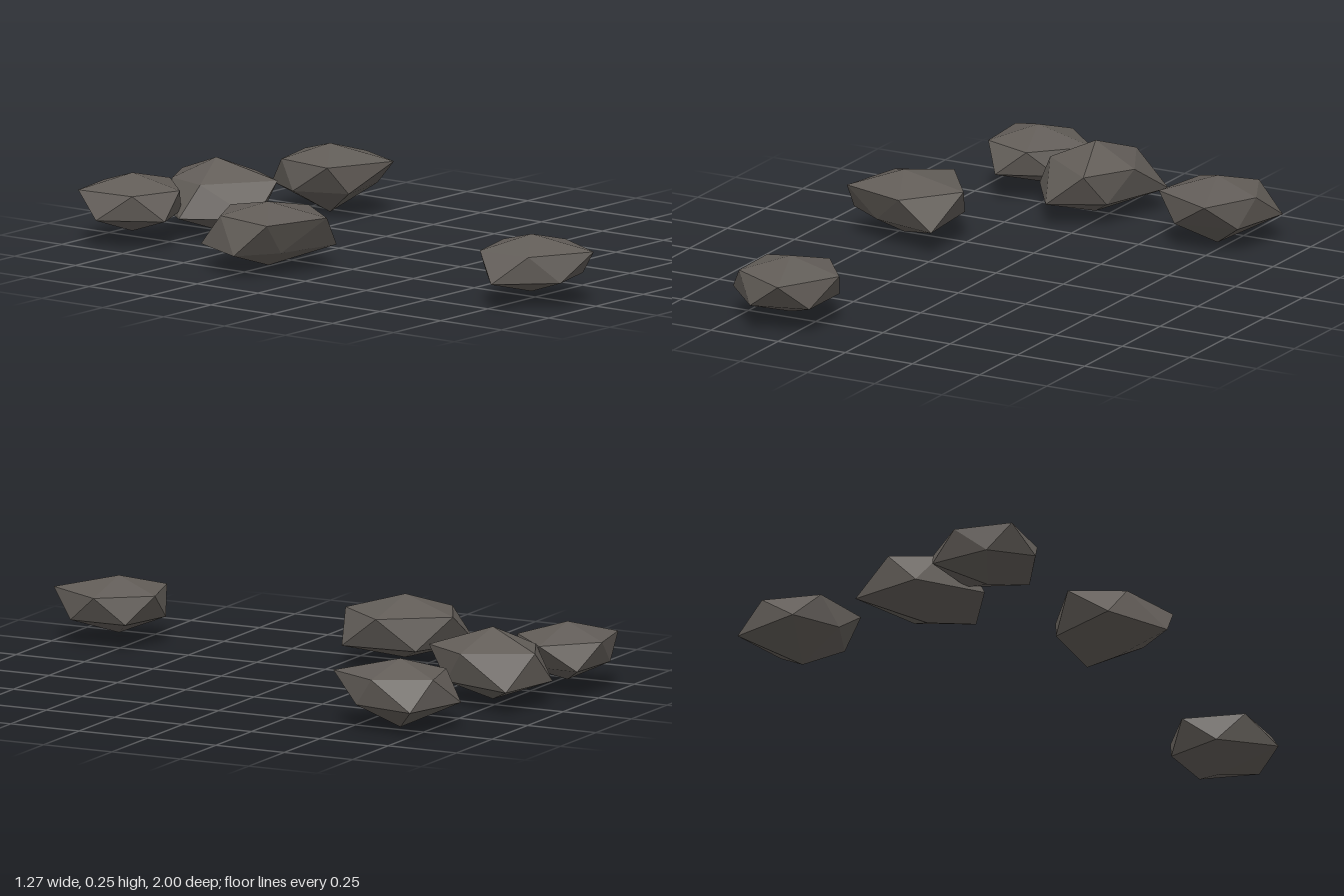
import * as THREE from 'three';

const stone = new THREE.MeshStandardMaterial({ color: 0x625d58, flatShading: true });
stone.name = 'dark stone';

// Each rock: a top and bottom point [x, z, yTop, yBottom] and two staggered
// five-sided rings of [x, z]; ring heights are given as [upper, lower].
const ROCKS = [
  { name: 'frontRock', axis: [-0.32, 0.79, 0.225, 0.035], heights: [0.18, 0.09],
    upper: [[-0.14, 0.79], [-0.255, 0.995], [-0.46, 0.885], [-0.465, 0.69], [-0.265, 0.63]],
    lower: [[-0.19, 0.9], [-0.38, 0.955], [-0.535, 0.79], [-0.38, 0.65], [-0.19, 0.7]] },
  { name: 'middleRock', axis: [-0.45, -0.19, 0.233, 0.022], heights: [0.187, 0.08],
    upper: [[-0.23, -0.195], [-0.37, -0.012], [-0.6, -0.08], [-0.55, -0.31], [-0.38, -0.4]],
    lower: [[-0.27, -0.05], [-0.5, -0.1], [-0.635, -0.19], [-0.53, -0.405], [-0.29, -0.31]] },
  { name: 'backRightRock', axis: [-0.32, -0.85, 0.228, 0.035], heights: [0.18, 0.095],
    upper: [[-0.12, -0.85], [-0.275, -0.69], [-0.45, -0.75], [-0.465, -0.96], [-0.275, -1]],
    lower: [[-0.19, -0.75], [-0.38, -0.67], [-0.5, -0.86], [-0.38, -0.975], [-0.175, -0.96]] },
  { name: 'backMiddleRock', axis: [-0.036, -0.725, 0.25, 0.01], heights: [0.185, 0.077],
    upper: [[0.128, -0.69], [0.03, -0.525], [-0.18, -0.68], [-0.135, -0.83], [0.015, -0.905]],
    lower: [[0.07, -0.61], [-0.105, -0.515], [-0.242, -0.72], [-0.09, -0.915], [0.153, -0.87]] },
  { name: 'backLeftRock', axis: [0.462, -0.645, 0.228, 0], heights: [0.182, 0.088],
    upper: [[0.62, -0.62], [0.53, -0.435], [0.305, -0.535], [0.34, -0.75], [0.53, -0.8]],
    lower: [[0.59, -0.55], [0.38, -0.505], [0.31, -0.68], [0.4, -0.835], [0.635, -0.77]] },
];

// Squashed, irregular twenty-sided stone
function makeRock({ name, axis: [x, z, top, bottom], heights, upper, lower }) {
  const points = [x, top, z];
  for (const [px, pz] of upper) points.push(px, heights[0], pz);
  for (const [px, pz] of lower) points.push(px, heights[1], pz);
  points.push(x, bottom, z);

  const faces = [];
  for (let i = 0; i < 5; i++) {
    const j = (i + 1) % 5;
    const u = 1 + i, u2 = 1 + j, l = 6 + i, l2 = 6 + j;
    faces.push(0, u2, u, u, u2, l, u2, l2, l, 11, l, l2);
  }

  const indexed = new THREE.BufferGeometry();
  indexed.setAttribute('position', new THREE.Float32BufferAttribute(points, 3));
  indexed.setIndex(faces);
  const geometry = indexed.toNonIndexed();
  geometry.computeVertexNormals();
  const mesh = new THREE.Mesh(geometry, stone);
  mesh.name = name;
  return mesh;
}

export function createModel() {
  const group = new THREE.Group();
  group.name = 'scatteredRocks';
  for (const rock of ROCKS) group.add(makeRock(rock));
  return group;
}
